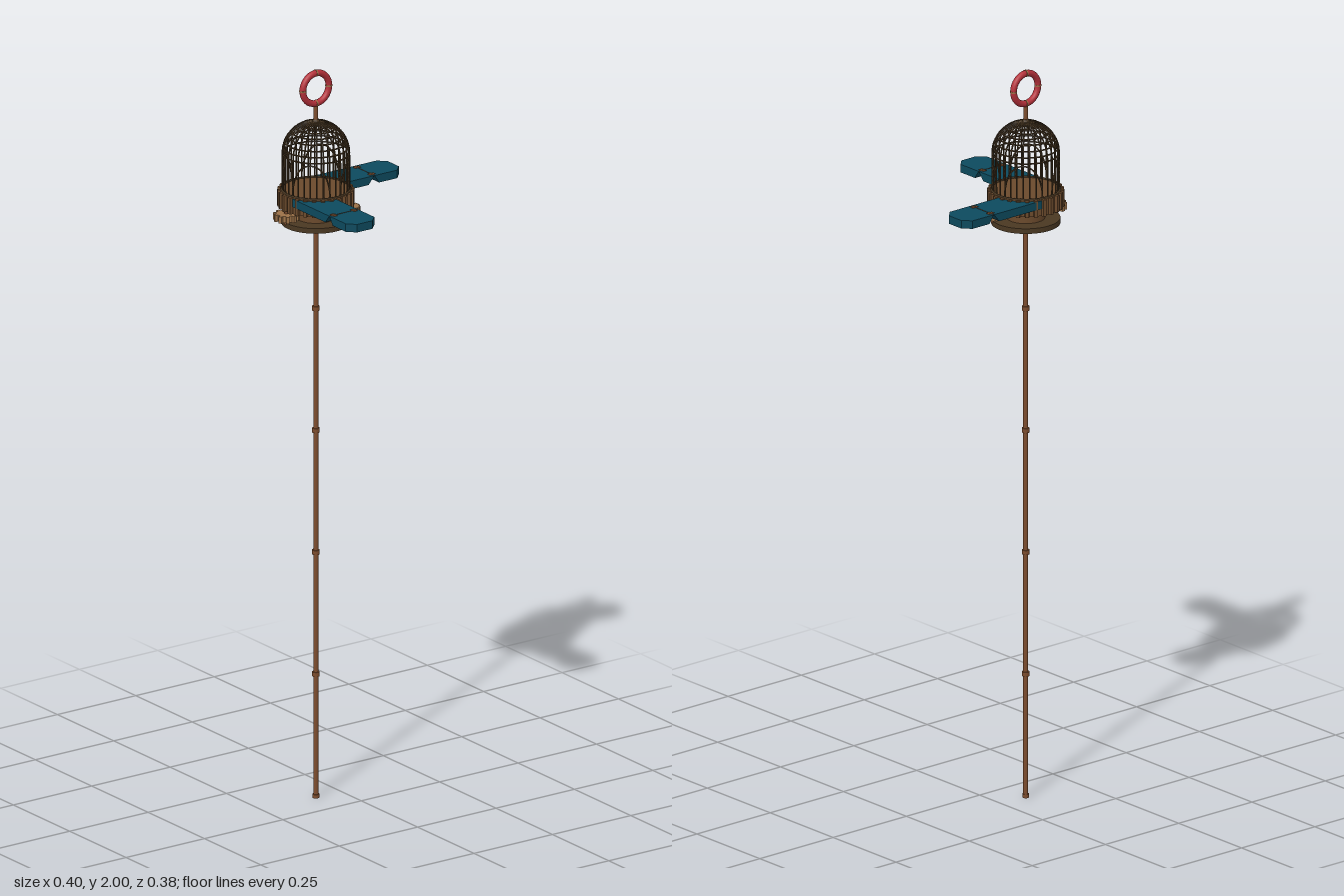
import * as THREE from 'three';

const mat = (color, extra = {}) => new THREE.MeshStandardMaterial({ color, ...extra });
const teal = mat(0x0d4a5e), red = mat(0xb5303a), wood = mat(0x7d4d2e);
const darkWood = mat(0x4a3822), brass = mat(0x9c7248), drumWood = mat(0x6b4a2c);

function add(parent, name, geometry, material, x = 0, y = 0, z = 0) {
  const mesh = new THREE.Mesh(geometry, material);
  mesh.name = name;
  mesh.position.set(x, y, z);
  parent.add(mesh);
  return mesh;
}

// Toothed disc lying flat, its underside at y = 0
function gearGeometry(inner, outer, teeth, height) {
  const pts = [];
  const step = (Math.PI * 2) / teeth;
  for (let i = 0; i < teeth; i++) {
    [[0, inner], [0.45, inner], [0.53, outer], [0.92, outer]].forEach(([f, r]) => {
      const a = (i + f) * step;
      pts.push(new THREE.Vector2(Math.cos(a) * r, Math.sin(a) * r));
    });
  }
  const g = new THREE.ExtrudeGeometry(new THREE.Shape(pts), { depth: height, bevelEnabled: false });
  return g.rotateX(-Math.PI / 2);
}

// Flat panel from u0 to u1 with clipped far corners; lower edge at the seam is bevelled
function panelGeometry(u0, u1, half, clip, seam, shift, height) {
  const s = new THREE.Shape([
    new THREE.Vector2(u0, -half), new THREE.Vector2(u1 - clip, -half),
    new THREE.Vector2(u1, -half + clip), new THREE.Vector2(u1, half - clip),
    new THREE.Vector2(u1 - clip, half), new THREE.Vector2(u0, half),
  ]);
  const g = new THREE.ExtrudeGeometry(s, { depth: height, bevelEnabled: false });
  g.rotateX(-Math.PI / 2);
  const p = g.attributes.position;
  for (let i = 0; i < p.count; i++) {
    if (p.getY(i) < height / 2 && Math.abs(p.getX(i) - seam) < 0.001) p.setX(i, seam + shift);
  }
  g.computeVertexNormals();
  return g;
}

// Folding arm reaching along its own +x
function makeArm(name, side) {
  const arm = new THREE.Group();
  arm.name = name;
  const seam = 0.187, half = 0.0455, h = 0.022;
  const slab = new THREE.Group();
  slab.position.set(0, 1.648, side * 0.0455);
  arm.add(slab);
  add(slab, 'innerPanel', panelGeometry(0, seam - 0.0005, half, 0.0002, seam - 0.0005, -0.018, h), teal);
  add(slab, 'outerPanel', panelGeometry(seam + 0.0005, 0.28, half, 0.021, seam + 0.0005, 0.014, h), teal);
  add(slab, 'hingePin', new THREE.CylinderGeometry(0.001, 0.001, 0.09, 6).rotateX(Math.PI / 2), wood, seam, h, 0);
  for (const z of [-0.032, 0.032]) {
    add(slab, 'hingePlate', new THREE.BoxGeometry(0.018, 0.002, 0.011), wood, seam, h + 0.0005, z);
    add(slab, 'hingeKnuckle', new THREE.CylinderGeometry(0.002, 0.002, 0.011, 8).rotateX(Math.PI / 2), brass, seam, h + 0.001, z);
  }
  return arm;
}

function makeCage() {
  const cage = new THREE.Group();
  cage.name = 'cage';
  const R = 0.087, spring = 1.772, top = 1.858, wire = 0.0022;

  // Ribs rise straight, then bend over the dome
  const path = new THREE.CurvePath();
  path.add(new THREE.LineCurve3(new THREE.Vector3(R, 1.67, 0), new THREE.Vector3(R, spring, 0)));
  const arc = [];
  for (let i = 0; i <= 8; i++) {
    const a = (i / 8) * Math.PI * 0.48;
    arc.push(new THREE.Vector3(Math.cos(a) * R, spring + Math.sin(a) * (top - spring), 0));
  }
  path.add(new THREE.CatmullRomCurve3(arc));
  const rib = new THREE.TubeGeometry(path, 20, wire, 5);
  for (let i = 0; i < 32; i++) {
    add(cage, 'rib', rib, darkWood).rotation.y = (i / 32) * Math.PI * 2;
  }

  // Hoops across the dome
  for (let i = 0; i < 8; i++) {
    const a = (i / 8) * Math.PI * 0.48;
    const hoop = new THREE.TorusGeometry(Math.cos(a) * R, wire, 5, 40).rotateX(Math.PI / 2);
    add(cage, 'domeHoop', hoop, darkWood, 0, spring + Math.sin(a) * (top - spring), 0);
  }

  // Arched door frames wrapped around the wall
  for (let k = 0; k < 4; k++) {
    const pts = [];
    for (let i = 0; i <= 16; i++) {
      const t = (i / 16) * Math.PI;
      const a = Math.PI / 4 + Math.cos(t) * 0.6;
      pts.push(new THREE.Vector3(Math.cos(a) * R, 1.675 + Math.sin(t) * 0.09, Math.sin(a) * R));
    }
    const arch = new THREE.TubeGeometry(new THREE.CatmullRomCurve3(pts), 28, wire, 5);
    add(cage, 'doorArch', arch, darkWood).rotation.y = (k * Math.PI) / 2;
  }

  add(cage, 'crownCap', new THREE.CylinderGeometry(0.007, 0.012, 0.01, 12), darkWood, 0, 1.86, 0);
  return cage;
}

export function createModel() {
  const model = new THREE.Group();
  model.name = 'cageStaff';
  const axis = new THREE.Group();
  axis.name = 'staff';
  axis.position.set(-0.08, 0, -0.09);
  model.add(axis);

  // Pole with joint collars
  add(axis, 'pole', new THREE.CylinderGeometry(0.0065, 0.0065, 1.585, 12), wood, 0, 0.7925, 0);
  add(axis, 'poleFoot', new THREE.CylinderGeometry(0.009, 0.009, 0.01, 12), wood, 0, 0.005, 0);
  for (const y of [0.34, 0.675, 1.01, 1.345]) {
    add(axis, 'poleCollar', new THREE.CylinderGeometry(0.01, 0.01, 0.012, 12), wood, 0, y, 0);
  }

  // Base plate, hub and toothed drum
  add(axis, 'basePlate', new THREE.CylinderGeometry(0.09, 0.09, 0.014, 40), darkWood, 0, 1.588, 0);
  add(axis, 'hub', new THREE.CylinderGeometry(0.05, 0.05, 0.04, 24), drumWood, 0, 1.612, 0);
  add(axis, 'drumGear', gearGeometry(0.092, 0.1, 26, 0.045), drumWood, 0, 1.628, 0);
  add(axis, 'drumRim', new THREE.TorusGeometry(0.089, 0.003, 6, 40).rotateX(Math.PI / 2), darkWood, 0, 1.674, 0);

  // Small drive gears peeking out beside the hub
  add(axis, 'largeDriveGear', gearGeometry(0.026, 0.034, 10, 0.018), brass, -0.086, 1.602, -0.012);
  add(axis, 'smallDriveGear', gearGeometry(0.026, 0.029, 20, 0.018), brass, 0.08, 1.602, 0.036);
  for (const [x, z] of [[-0.086, -0.012], [0.08, 0.036]]) {
    add(axis, 'driveAxle', new THREE.CylinderGeometry(0.006, 0.006, 0.045, 10), wood, x, 1.612, z);
  }

  axis.add(makeCage());

  // One arm reaches to the left, the other to the front
  axis.add(makeArm('sideArm', -1));
  const frontArm = makeArm('frontArm', 1);
  frontArm.rotation.y = -Math.PI / 2;
  axis.add(frontArm);

  // Carrying ring with four bands
  add(axis, 'ringStem', new THREE.CylinderGeometry(0.006, 0.006, 0.05, 10), wood, 0, 1.88, 0);
  const ring = new THREE.Group();
  ring.name = 'carryingRing';
  ring.position.y = 1.949;
  axis.add(ring);
  add(ring, 'ring', new THREE.TorusGeometry(0.0415, 0.0088, 10, 32), red);
  for (let i = 0; i < 4; i++) {
    const a = (i * Math.PI) / 2;
    const band = new THREE.CylinderGeometry(0.0095, 0.0095, 0.004, 12);
    add(ring, 'ringBand', band, brass, Math.cos(a) * 0.0415, Math.sin(a) * 0.0415, 0).rotation.z = a;
  }
  return model;
}
